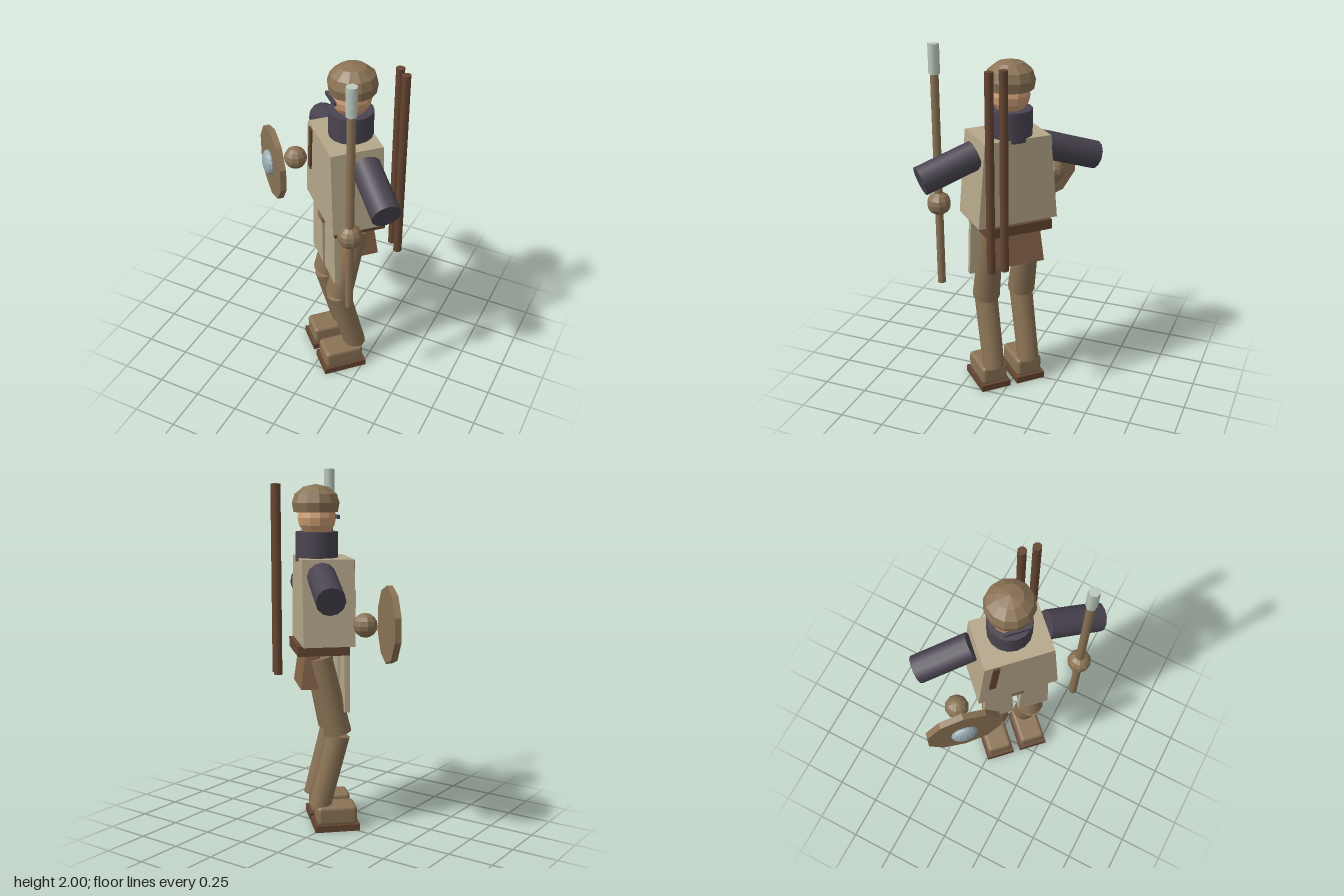
import * as THREE from 'three';
import { RoundedBoxGeometry } from 'three/addons/geometries/RoundedBoxGeometry.js';

const mat = (name, color) => {
  const m = new THREE.MeshStandardMaterial({ color });
  m.name = name;
  return m;
};

// Faceted copy of a geometry
function flat(geo) {
  const g = geo.index ? geo.toNonIndexed() : geo;
  g.computeVertexNormals();
  return g;
}

// Box whose top and bottom differ in width and depth
function taperedBox(topW, topD, botW, botD, h) {
  const g = new THREE.BoxGeometry(1, h, 1);
  const p = g.attributes.position;
  for (let i = 0; i < p.count; i++) {
    const top = p.getY(i) > 0;
    p.setX(i, p.getX(i) * (top ? topW : botW));
    p.setZ(i, p.getZ(i) * (top ? topD : botD));
  }
  return flat(g);
}

export function createModel() {
  const cloth = mat('beigeCloth', 0xb5a78a);
  const tan = mat('tanLeather', 0x8b7355);
  const rust = mat('skirtLeather', 0x866548);
  const brown = mat('darkLeather', 0x654531);
  const dark = mat('darkSleeve', 0x4a4450);
  const skin = mat('skin', 0xd2a078);
  const steel = mat('steel', 0x9aadb5);
  const pale = mat('paleTip', 0xbccabf);

  const root = new THREE.Group();
  root.name = 'warrior';
  // The figure stands turned towards its right
  const body = new THREE.Group();
  body.name = 'body';
  body.position.set(0.052, 0, 0.052);
  body.rotation.y = -Math.PI / 4;
  root.add(body);

  const add = (name, geo, material, x = 0, y = 0, z = 0) => {
    const m = new THREE.Mesh(geo, material);
    m.name = name;
    m.position.set(x, y, z);
    body.add(m);
    return m;
  };
  // Tapered cylinder between two points
  const rod = (name, a, b, rA, rB, material, sides = 12) => {
    const from = new THREE.Vector3(...a), to = new THREE.Vector3(...b);
    const dir = to.clone().sub(from);
    const m = add(name, new THREE.CylinderGeometry(rB, rA, dir.length(), sides), material);
    m.position.copy(from).add(to).multiplyScalar(0.5);
    m.quaternion.setFromUnitVectors(new THREE.Vector3(0, 1, 0), dir.normalize());
    return m;
  };

  // Torso, belt and skirt
  add('torso', taperedBox(0.37, 0.283, 0.452, 0.283, 0.465), cloth, 0, 1.2875, -0.04);
  add('belt', new THREE.BoxGeometry(0.37, 0.055, 0.284), brown, 0, 1.028, -0.064);
  add('buckle', new THREE.BoxGeometry(0.07, 0.06, 0.03), tan, 0, 1.03, 0.083);
  add('backSkirt', taperedBox(0.27, 0.08, 0.3, 0.13, 0.19), rust, 0, 0.905, -0.12);
  add('shoulderStrap', new THREE.BoxGeometry(0.036, 0.26, 0.015), brown, -0.135, 1.38, 0.104)
    .rotation.z = -0.1;

  // Head, collar, eye strip and cap
  add('collar', new THREE.CylinderGeometry(0.118, 0.118, 0.16, 16), dark, 0, 1.58, -0.072);
  add('head', flat(new THREE.SphereGeometry(0.106, 12, 8)), skin, 0, 1.735, -0.072);
  add('eyeStrip', new THREE.BoxGeometry(0.13, 0.02, 0.016), dark, 0, 1.74, 0.036);
  const capProfile = [[0, 1.765], [0.122, 1.765], [0.131, 1.815], [0.116, 1.862], [0.068, 1.9], [0, 1.915]]
    .map(([r, y]) => new THREE.Vector2(r, y));
  add('cap', flat(new THREE.LatheGeometry(capProfile, 12)), tan, 0, 0, -0.078);

  // Limbs and front skirt panels, mirrored
  for (const s of [1, -1]) {
    const side = s > 0 ? 'left' : 'right';
    rod(side + 'Arm', [s * 0.2, 1.435, -0.08], [s * 0.5, 1.335, -0.08], 0.078, 0.078, dark);
    rod(side + 'Thigh', [s * 0.108, 0.98, -0.072], [s * 0.108, 0.55, 0.026], 0.064, 0.077, tan);
    rod(side + 'Shin', [s * 0.108, 0.54, 0.03], [s * 0.108, 0.13, -0.076], 0.066, 0.062, tan);
    add(side + 'Boot', new RoundedBoxGeometry(0.152, 0.11, 0.225, 2, 0.022), tan, s * 0.108, 0.086, 0.013);
    add(side + 'Sole', new THREE.BoxGeometry(0.174, 0.038, 0.252), brown, s * 0.108, 0.019, 0.012);
    add(side + 'SkirtPanel', taperedBox(0.155, 0.03, 0.178, 0.03, 0.315), cloth, s * 0.105, 0.8425, 0.064);
  }

  // Hands
  add('leftHand', flat(new THREE.SphereGeometry(0.065, 10, 8)), tan, 0.358, 1.14, 0.057);
  add('rightHand', flat(new THREE.SphereGeometry(0.065, 10, 8)), tan, -0.35, 1.19, 0.127);

  // Spear in the left hand
  rod('spearShaft', [0.358, 0.67, 0.057], [0.358, 1.86, 0.057], 0.023, 0.023, tan, 8);
  rod('spearTip', [0.358, 1.845, 0.057], [0.358, 2, 0.057], 0.03, 0.03, pale, 6);

  // Round shield with a boss on the right hand
  const shield = add('shield', flat(new THREE.CylinderGeometry(0.207, 0.207, 0.034, 10)), tan, -0.35, 1.188, 0.255);
  shield.rotation.x = Math.PI / 2;
  add('shieldBoss', flat(new THREE.SphereGeometry(0.072, 12, 8)), steel, -0.353, 1.188, 0.28)
    .scale.z = 0.5;

  // Twin poles behind the back
  for (const x of [0.123, 0.199]) {
    rod('backPole', [x, 0.845, -0.279], [x, 1.918, -0.279], 0.024, 0.024, brown, 8);
  }

  return root;
}
